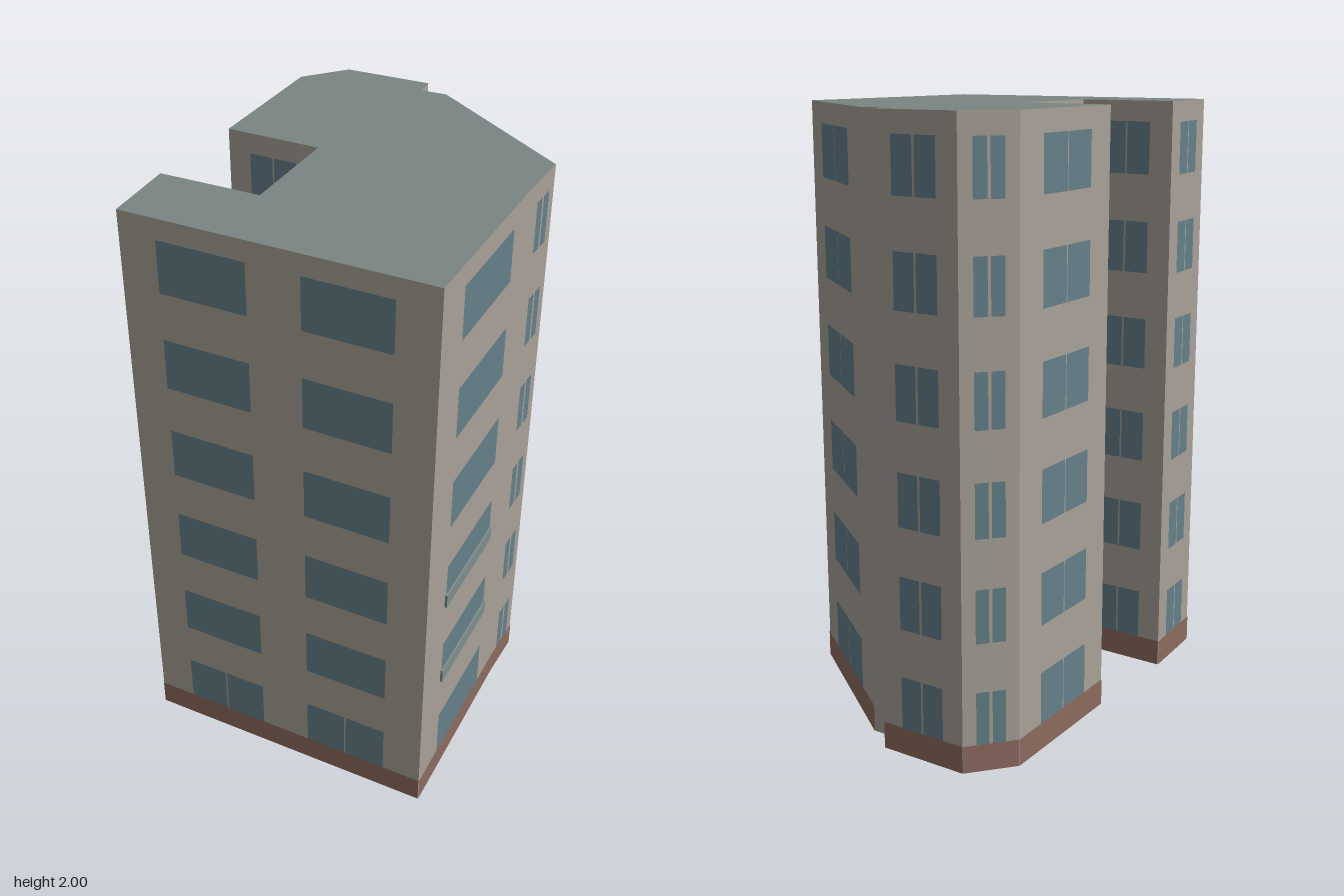
import * as THREE from 'three';

const mat = (color) => new THREE.MeshStandardMaterial({ color });

// Footprint corners [x, z] with the windows of the wall that starts at each corner.
// windows: [start, end] as fractions of the wall; panes: how each window is divided.
const WALLS = [
  { at: [-0.667, 0.2], windows: [[0.125, 0.413], [0.585, 0.868]], groundSplit: true },
  { at: [0.166, 0.79], windows: [[0.222, 0.778]], balconies: [1, 2] },
  { at: [0.555, 0.235], windows: [[0.24, 0.76]], gap: 0.012 },
  { at: [0.665, 0.09], windows: [[0.22, 0.77]], gap: 0.004 },
  { at: [0.455, -0.51], plain: true },
  { at: [0.38, -0.56], plain: true },
  { at: [0.415, -0.62], windows: [[0.24, 0.76]], gap: 0.008 },
  { at: [0.165, -0.79], windows: [[0.24, 0.76]], gap: 0.01 },
  { at: [-0.01, -0.745], windows: [[0.24, 0.77]], gap: 0.004 },
  { at: [-0.298, -0.33], windows: [[0.24, 0.76]], gap: 0.006 },
  { at: [-0.035, -0.14], windows: [[0.24, 0.76]], gap: 0.006 },
  { at: [-0.25, 0.17], windows: [[0.24, 0.76]], gap: 0.006 },
  { at: [-0.53, -0.025], windows: [[0.24, 0.76]], gap: 0.006 },
];

const HEIGHT = 2, ROOF = 0.01, BASE = 0.09;
const FLOORS = 6, PITCH = 0.3335, SILL = 0.09, WINDOW_H = 0.174;

export function createModel() {
  const building = new THREE.Group();
  building.name = 'apartmentBlock';

  const wallMat = mat(0xa8a197), roofMat = mat(0x7a8582), baseMat = mat(0x8c6b5e);
  const glassMat = mat(0x64808a), railMat = mat(0x7f8f8c);

  const add = (name, geometry, material, parent = building) => {
    const mesh = new THREE.Mesh(geometry, material);
    mesh.name = name;
    parent.add(mesh);
    return mesh;
  };

  // Main volume and roof slab, both extruded upward from the footprint
  const outline = new THREE.Shape(WALLS.map(({ at }) => new THREE.Vector2(at[0], -at[1])));
  const prism = (depth) =>
    new THREE.ExtrudeGeometry(outline, { depth, bevelEnabled: false }).rotateX(-Math.PI / 2);
  add('walls', prism(HEIGHT - ROOF), wallMat);
  add('roof', prism(ROOF), [roofMat, wallMat]).position.y = HEIGHT - ROOF;

  WALLS.forEach((wall, i) => {
    if (wall.plain) return;
    const [x0, z0] = wall.at;
    const [x1, z1] = WALLS[(i + 1) % WALLS.length].at;
    const length = Math.hypot(x1 - x0, z1 - z0);

    // Facade group: local x runs along the wall, local z points outward
    const facade = new THREE.Group();
    facade.name = `facade${i + 1}`;
    facade.position.set(x0, 0, z0);
    facade.rotation.y = Math.atan2(z0 - z1, x1 - x0);
    building.add(facade);

    const panel = (name, a, b, y0, y1, material) =>
      add(name, new THREE.PlaneGeometry(b - a, y1 - y0), material, facade)
        .position.set((a + b) / 2, (y0 + y1) / 2, 0.002);

    panel('brickBase', 0, length, 0, BASE, baseMat);

    for (let floor = 0; floor < FLOORS; floor++) {
      const y = SILL + floor * PITCH;
      for (const [s, e] of wall.windows) {
        const a = s * length, b = e * length, mid = (a + b) / 2;
        const gap = wall.gap ?? (wall.groundSplit && floor === 0 ? 0.006 : 0);
        if (gap) {
          panel('windowPane', a, mid - gap / 2, y, y + WINDOW_H, glassMat);
          panel('windowPane', mid + gap / 2, b, y, y + WINDOW_H, glassMat);
        } else {
          panel('window', a, b, y, y + WINDOW_H, glassMat);
        }
        // Shallow balcony parapet across the lower part of the window
        if (wall.balconies?.includes(floor)) {
          add('balconyRail', new THREE.BoxGeometry(b - a + 0.008, 0.05, 0.008), railMat, facade)
            .position.set(mid, y + 0.033, 0.004);
        }
      }
    }
  });

  return building;
}
